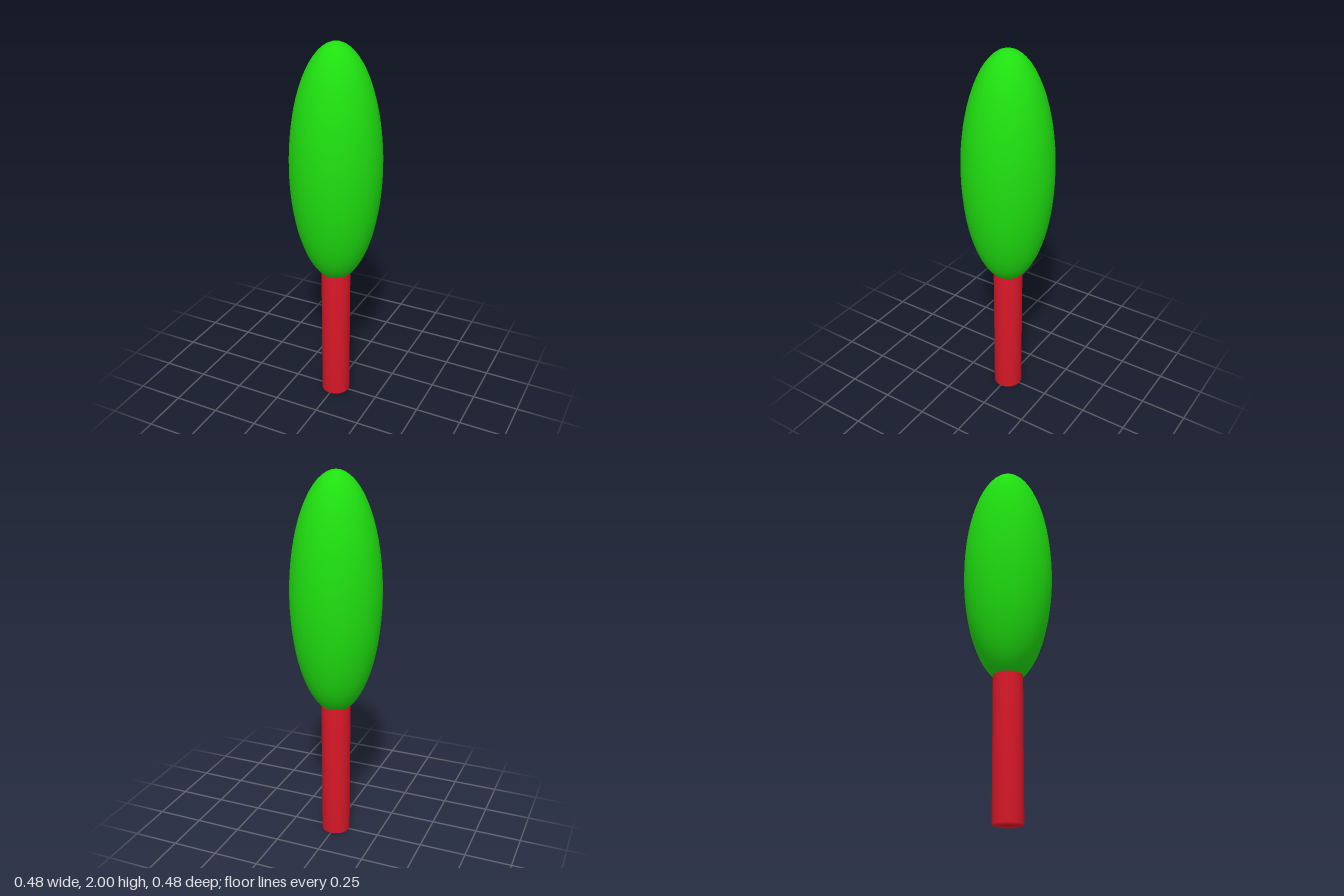
import * as THREE from 'three';

const SEGMENTS = 32;

function part(name, geometry, color) {
  const mesh = new THREE.Mesh(geometry, new THREE.MeshStandardMaterial({ color }));
  mesh.name = name;
  return mesh;
}

export function createModel() {
  const model = new THREE.Group();
  model.name = 'tree';

  // Trunk: closed at the bottom, its top sunk into the foliage
  const radius = 0.078;
  const profile = [[0, 0], [radius, 0], [radius, 0.77]].map(([x, y]) => new THREE.Vector2(x, y));
  model.add(part('trunk', new THREE.LatheGeometry(profile, SEGMENTS), 0xdc1828));

  // Foliage: a tall ellipsoid
  const halfHeight = 0.638;
  const crown = new THREE.SphereGeometry(1, SEGMENTS, 32);
  crown.scale(0.239, halfHeight, 0.239);
  crown.translate(0, 2 - halfHeight, 0);
  model.add(part('foliage', crown, 0x1fe010));

  return model;
}
